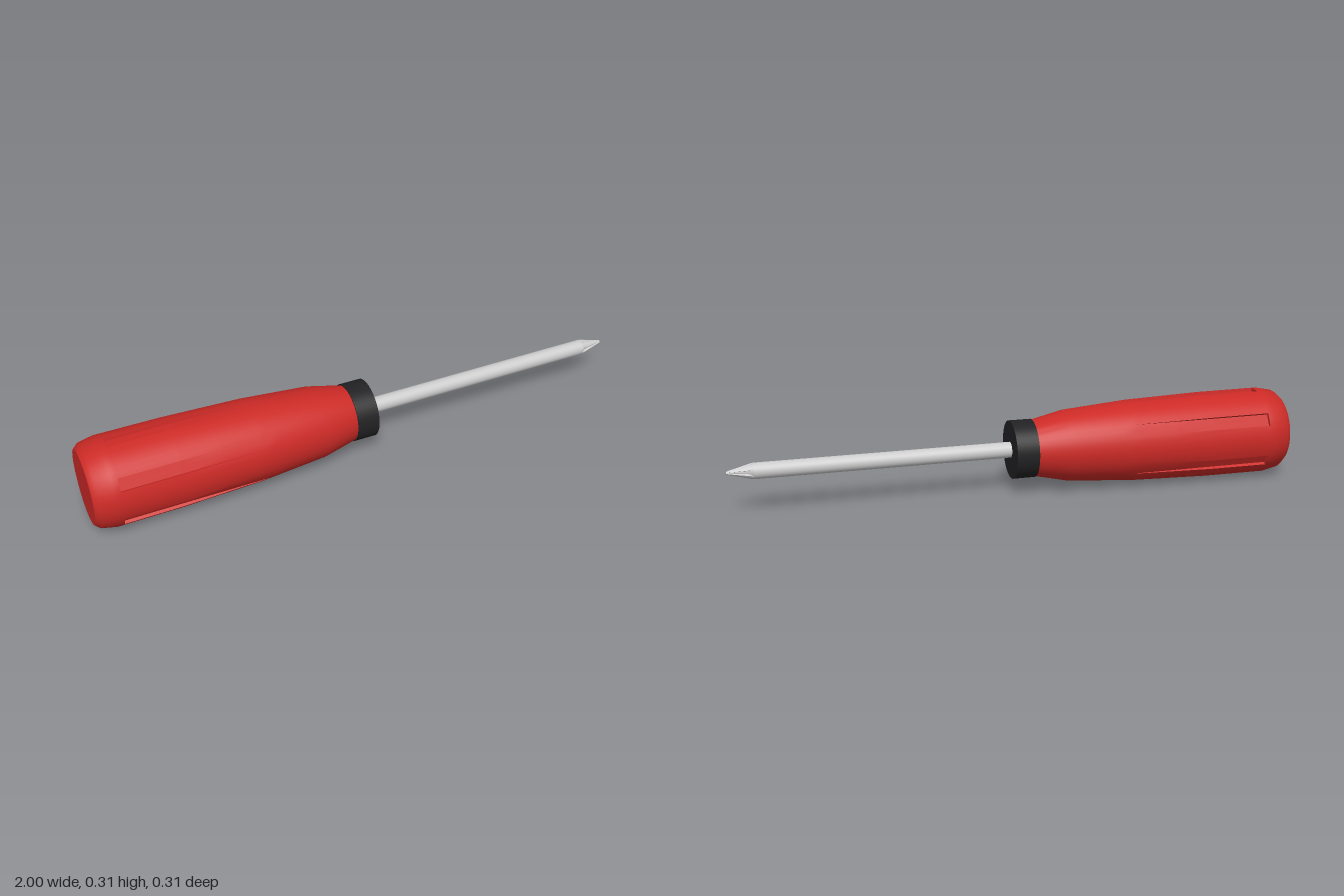
import * as THREE from 'three';
import { toCreasedNormals } from 'three/addons/utils/BufferGeometryUtils.js';

const AXIS_Y = 0.156;

// Closed surface around the x axis: one ring per row, radius given by radiusAt(row, column)
function ringSurface(rows, cols, radiusAt) {
  const pos = [], index = [], n = cols.length;
  for (const row of rows) {
    for (const col of cols) {
      const r = radiusAt(row, col);
      pos.push(row.x, r * Math.cos(col.angle), r * Math.sin(col.angle));
    }
  }
  for (let i = 0; i < rows.length - 1; i++) {
    for (let j = 0; j < n; j++) {
      const a = i * n + j, b = i * n + (j + 1) % n;
      index.push(a, b, a + n, b, b + n, a + n);
    }
  }
  const geo = new THREE.BufferGeometry();
  geo.setAttribute('position', new THREE.Float32BufferAttribute(pos, 3));
  geo.setIndex(index);
  return toCreasedNormals(geo, 0.6);
}

// Columns for repeated flutes: doubled at each flute edge so the walls are sharp
function flutedColumns(count, half, plainSteps) {
  const cols = [], pitch = 2 * Math.PI / count;
  for (let k = 0; k < count; k++) {
    const mid = k * pitch;
    cols.push({ angle: mid - half, off: half, cut: false });
    for (const off of [-half, 0, half]) cols.push({ angle: mid + off, off, cut: true });
    for (let s = 0; s < plainSteps; s++) {
      cols.push({ angle: mid + half + (pitch - 2 * half) * s / plainSteps, off: 0, cut: false });
    }
  }
  return cols;
}

// Handle with six shallow grip grooves that run out where the body tapers
function handleGeometry() {
  const profile = [[-1, 0.129], [-0.982, 0.145], [-0.93, 0.1555], [-0.7, 0.1545],
    [-0.42, 0.146], [-0.18, 0.127], [-0.06, 0.1]];
  const radius = (x) => {
    let i = 0;
    while (i < profile.length - 2 && x > profile[i + 1][0]) i++;
    const [x0, r0] = profile[i], [x1, r1] = profile[i + 1];
    return r0 + (r1 - r0) * (x - x0) / (x1 - x0);
  };
  const grooveStart = -0.91, floor = 0.143;
  const rows = [{ x: -1, closed: true }];
  for (const x of [-1, -0.982, -0.93, grooveStart]) rows.push({ x });
  for (const x of [grooveStart, -0.7, -0.56, -0.42, -0.4, -0.38, -0.36, -0.18, -0.06]) {
    rows.push({ x, grooved: true });
  }
  rows.push({ x: -0.06, closed: true });
  return ringSurface(rows, flutedColumns(6, 0.149, 6), (row, col) => {
    if (row.closed) return 0;
    const r = radius(row.x);
    return row.grooved && col.cut ? Math.min(r, floor / Math.cos(col.off)) : r;
  });
}

// Pointed cross tip with four flutes
function tipGeometry() {
  const rows = [
    { x: 0.91, r: 0.028, cut: 1 },
    { x: 0.925, r: 0.0245, cut: 0.62 },
    { x: 0.99, r: 0.0075, cut: 0.45 },
    { x: 1, r: 0.004, cut: 0.5 },
    { x: 1, r: 0, cut: 1 },
  ];
  return ringSurface(rows, flutedColumns(4, 0.4, 4),
    (row, col) => row.r * (col.cut ? row.cut : 1));
}

// Cylinder lying along x
function barGeometry(x0, x1, r, sides) {
  return new THREE.CylinderGeometry(r, r, x1 - x0, sides)
    .rotateZ(-Math.PI / 2).translate((x0 + x1) / 2, 0, 0);
}

export function createModel() {
  const red = new THREE.MeshStandardMaterial({ color: 0xcc2a26 });
  const black = new THREE.MeshStandardMaterial({ color: 0x222224 });
  const steel = new THREE.MeshStandardMaterial({ color: 0xcccccc });

  const model = new THREE.Group();
  model.name = 'screwdriver';
  const add = (name, geometry, material) => {
    const mesh = new THREE.Mesh(geometry, material);
    mesh.name = name;
    mesh.position.y = AXIS_Y;
    model.add(mesh);
  };

  add('handle', handleGeometry(), red);
  add('collar', barGeometry(-0.06, 0.02, 0.1035, 48), black);
  add('shaft', barGeometry(0.02, 0.91, 0.028, 32), steel);
  add('crossTip', tipGeometry(), steel);
  return model;
}
